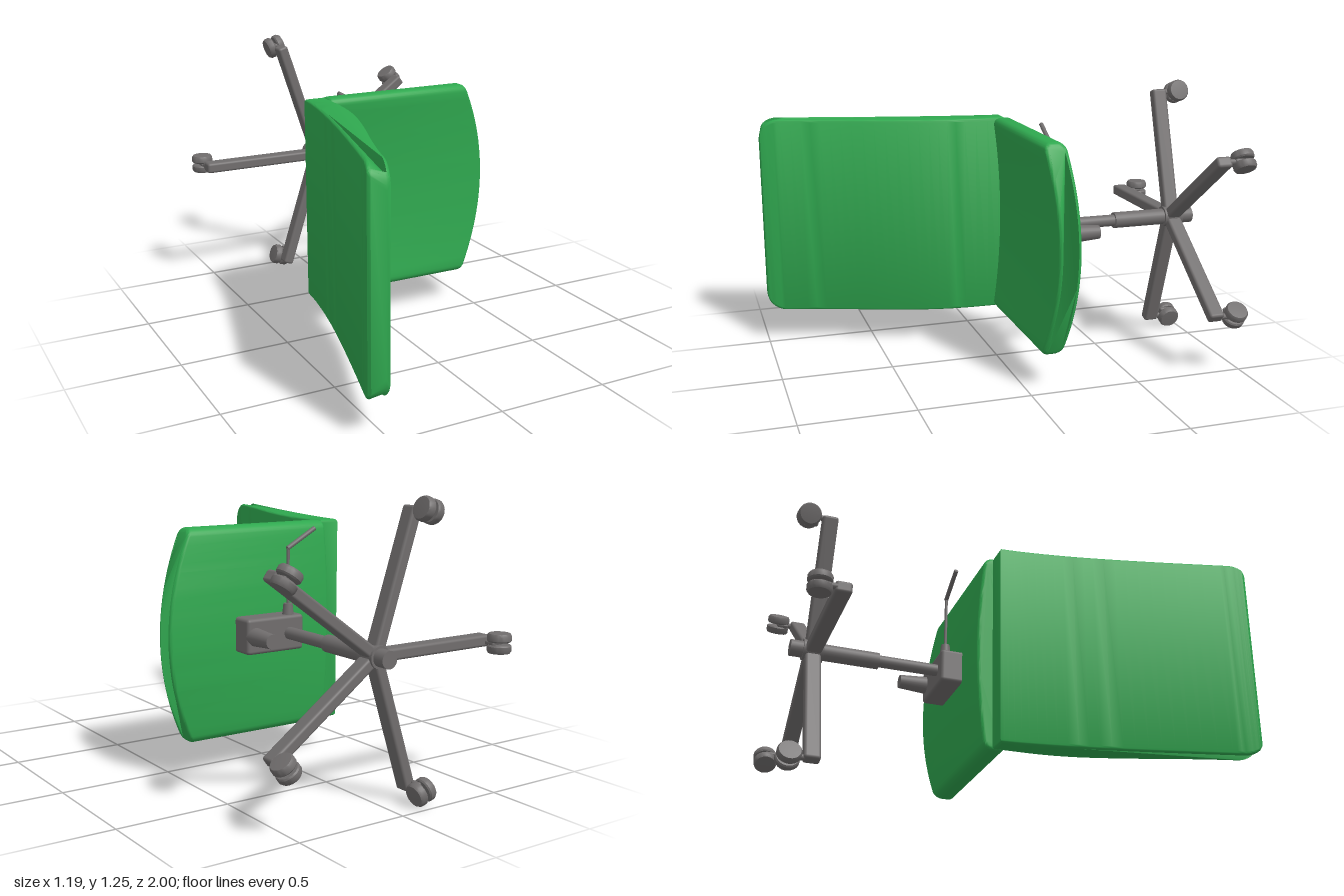
import * as THREE from 'three';
import { toCreasedNormals } from 'three/addons/utils/BufferGeometryUtils.js';
import { RoundedBoxGeometry } from 'three/addons/geometries/RoundedBoxGeometry.js';

const MID = 0.64;      // height of the chair's plane of symmetry (it lies on its side)
const HALF = 0.465;    // half width of seat and backrest
const HUB_X = 0.045;   // axis of the column

const green = new THREE.MeshStandardMaterial({ color: 0x2fa84f });
green.name = 'green upholstery';
const grey = new THREE.MeshStandardMaterial({ color: 0x706d6d });
grey.name = 'grey metal';

function add(parent, name, geometry, material, x = 0, y = 0, z = 0) {
  const mesh = new THREE.Mesh(geometry, material);
  mesh.name = name;
  mesh.position.set(x, y, z);
  parent.add(mesh);
  return mesh;
}

// Round bar between two points
function rod(parent, name, from, to, r0, r1 = r0, sides = 24) {
  const a = new THREE.Vector3(...from), b = new THREE.Vector3(...to);
  const dir = b.clone().sub(a);
  const mesh = add(parent, name, new THREE.CylinderGeometry(r1, r0, dir.length(), sides), grey);
  mesh.position.copy(a).add(b).multiplyScalar(0.5);
  mesh.quaternion.setFromUnitVectors(new THREE.Vector3(0, 1, 0), dir.normalize());
  return mesh;
}

// Extrude an outline with a soft rim, then place each vertex by a rule
function padGeometry(points, depth, bevel, rule) {
  const geo = new THREE.ExtrudeGeometry(new THREE.Shape(points), {
    depth: depth - 2 * bevel, bevelEnabled: true, bevelThickness: bevel,
    bevelSize: bevel, bevelOffset: -bevel, bevelSegments: 4,
  });
  const p = geo.attributes.position;
  for (let i = 0; i < p.count; i++) p.setXYZ(i, ...rule(p.getX(i), p.getY(i), p.getZ(i) + bevel));
  return toCreasedNormals(geo, 0.6);
}

// Dished cushion with rounded sides and a bowed front edge
function seatGeometry() {
  const r = 0.035, top = -0.055, bottom = -0.155, pts = [];
  const dish = (y) => -0.035 * (1 - (y / HALF) ** 2);
  const corner = (cy, cz, start) => {
    for (let i = 0; i <= 6; i++) {
      const t = start + (i / 6) * Math.PI / 2;
      const y = cy + r * Math.cos(t);
      pts.push(new THREE.Vector2(y, cz + r * Math.sin(t) + dish(y)));
    }
  };
  const run = (z, s) => {
    for (let i = 1; i < 24; i++) {
      const y = s * (HALF - r) * (1 - i / 12);
      pts.push(new THREE.Vector2(y, z + dish(y)));
    }
  };
  corner(HALF - r, top - r, 0);
  run(top, 1);
  corner(-HALF + r, top - r, Math.PI / 2);
  corner(-HALF + r, bottom + r, Math.PI);
  run(bottom, -1);
  corner(HALF - r, bottom + r, Math.PI * 1.5);
  return padGeometry(pts, 1, 0.015, (y, z, s) => {
    const front = 0.46 + 0.122 * (1 - (y / HALF) ** 2);
    return [s < 0.5 ? -0.24 + s : front + s - 1, MID + y, z];
  });
}

// Curved backrest: side profile swept across the width, with rounded far corners
function backrestGeometry() {
  const curve = (list) => new THREE.SplineCurve(list.map(([z, x]) => new THREE.Vector2(z, x)));
  const face = curve([[-0.12, -0.24], [0.08, -0.246], [0.25, -0.272], [0.45, -0.33], [0.65, -0.4], [0.83, -0.458], [0.995, -0.502]]);
  const rear = curve([[-0.12, -0.338], [0, -0.352], [0.2, -0.388], [0.43, -0.441], [0.7, -0.511], [0.97, -0.585]]);
  const steps = [];
  for (let i = 0; i < 22; i++) steps.push(i / 22 * 0.9);
  for (let i = 0; i <= 12; i++) steps.push(0.9 + 0.1 * Math.sin(i / 12 * Math.PI / 2));
  const pts = [
    ...steps.map((t) => rear.getPoint(t)),
    new THREE.Vector2(0.985, -0.577), new THREE.Vector2(1, -0.52),
    ...steps.map((t) => face.getPoint(t)).reverse(),
  ];
  const r = 0.09;
  return padGeometry(pts, 2 * HALF, 0.014, (z, x, s) => {
    const d = Math.min(Math.max(z - (1 - r), 0), r);
    const h = HALF - r + Math.sqrt(r * r - d * d);
    return [x, MID + (s - HALF) * h / HALF, z];
  });
}

// Twin-wheel caster; local x points outward, wheels turn about local y
function caster() {
  const g = new THREE.Group();
  g.name = 'caster';
  rod(g, 'casterStem', [0, 0, -0.88], [0, 0, -0.94], 0.013, 0.013, 12);
  const profile = [[0, -0.019], [0.046, -0.019], [0.051, -0.013], [0.051, 0.006], [0.045, 0.016], [0, 0.019]];
  for (const side of [-1, 1]) {
    const geo = toCreasedNormals(new THREE.LatheGeometry(profile.map((p) => new THREE.Vector2(...p)), 28), 0.6);
    const wheel = add(g, 'casterWheel', geo, grey, 0, side * 0.025, -0.949);
    if (side < 0) wheel.rotation.x = Math.PI;
  }
  add(g, 'casterFork', new RoundedBoxGeometry(0.06, 0.02, 0.05, 2, 0.008), grey, -0.012, 0, -0.93);
  return g;
}

export function createModel() {
  const model = new THREE.Group();
  model.name = 'officeChair';

  add(model, 'seat', seatGeometry(), green);
  add(model, 'backrest', backrestGeometry(), green);

  // Tilt mechanism under the seat
  add(model, 'mechanismHousing', new RoundedBoxGeometry(0.29, 0.155, 0.13, 3, 0.015), grey, 0.115, MID, -0.222);
  rod(model, 'tensionKnob', [0.22, MID, -0.27], [0.22, MID, -0.412], 0.041, 0.031);

  // Height lever
  rod(model, 'leverSocket', [0.03, 0.7, -0.252], [0.03, 0.765, -0.252], 0.027, 0.02);
  rod(model, 'leverStem', [0.03, 0.75, -0.252], [0.03, 1.01, -0.252], 0.007, 0.007, 12);
  rod(model, 'leverHandle', [0.034, 1.005, -0.252], [-0.11, 1.085, -0.252], 0.01, 0.01, 12);

  // Gas column and hub
  const axis = (z) => [HUB_X, MID, z];
  rod(model, 'columnPiston', axis(-0.27), axis(-0.58), 0.027);
  rod(model, 'columnSleeve', axis(-0.56), axis(-0.83), 0.037);
  rod(model, 'hub', axis(-0.81), axis(-0.9), 0.047);
  rod(model, 'columnEnd', axis(-0.89), axis(-0.955), 0.037);

  // Five-spoke base
  for (let i = 0; i < 5; i++) {
    const arm = new THREE.Group();
    arm.name = 'baseArm';
    arm.position.set(HUB_X, MID, 0);
    arm.rotation.z = (36 + 72 * i) * Math.PI / 180;
    add(arm, 'spoke', new RoundedBoxGeometry(0.6, 0.05, 0.07, 3, 0.012), grey, 0.307, 0, -0.855);
    const wheels = caster();
    wheels.position.x = 0.595;
    arm.add(wheels);
    model.add(arm);
  }
  return model;
}
